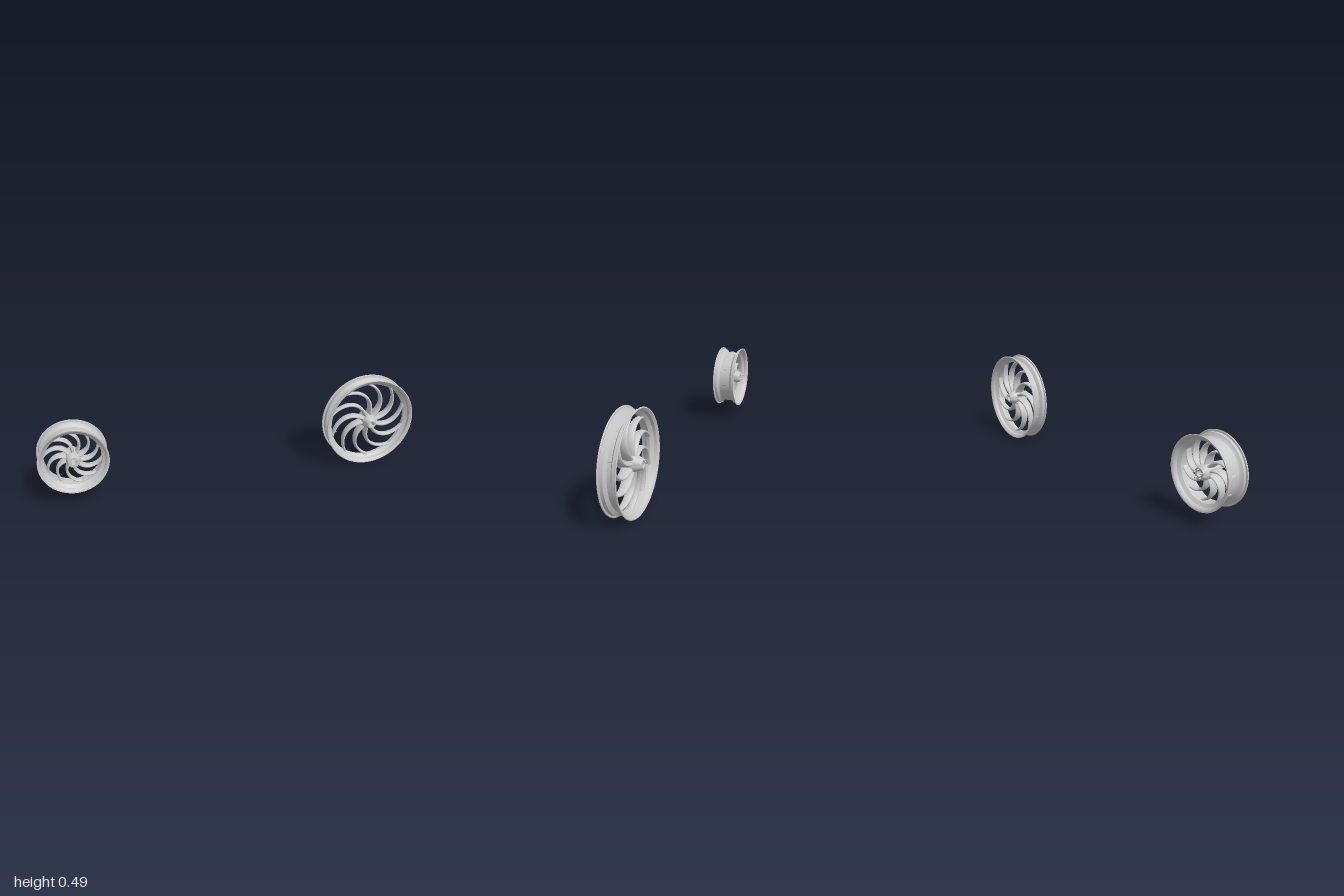
import * as THREE from 'three';
import { toCreasedNormals } from 'three/addons/utils/BufferGeometryUtils.js';

const metal = new THREE.MeshStandardMaterial({ color: 0xc8c8c8 });
metal.name = 'cast metal';

function add(parent, name, geometry) {
  const mesh = new THREE.Mesh(geometry, metal);
  mesh.name = name;
  parent.add(mesh);
  return mesh;
}

// Closed ring around z: half profile of [radius, z], mirrored across z = 0
function ring(half, segments) {
  const points = [...half, ...half.map(([r, z]) => [r, -z]).reverse(), half[0]]
    .map(([r, z]) => new THREE.Vector2(r, z));
  const g = new THREE.LatheGeometry(points, segments).rotateX(Math.PI / 2);
  return toCreasedNormals(g, 0.55);
}

// Oval section swept along a spiral that leaves the hub radially
function spokeGeometry({ inner, outer, sweep, width, depth }) {
  const steps = 18, sides = 12, positions = [], index = [];
  const at = t => {
    const r = inner + (outer - inner) * t, a = sweep * t * t;
    return new THREE.Vector2(r * Math.cos(a), r * Math.sin(a));
  };
  for (let i = 0; i <= steps; i++) {
    const t = i / steps, p = at(t);
    const dir = at(t + 0.01).sub(at(t - 0.01)).normalize();
    const w = THREE.MathUtils.lerp(width[0], width[1], t);
    const d = THREE.MathUtils.lerp(depth[0], depth[1], t);
    for (let j = 0; j < sides; j++) {
      const a = (j / sides) * Math.PI * 2, c = Math.cos(a) * w;
      positions.push(p.x - dir.y * c, p.y + dir.x * c, Math.sin(a) * d);
      if (i === steps) continue;
      const k = (j + 1) % sides, row = i * sides, next = row + sides;
      index.push(row + j, row + k, next + j, row + k, next + k, next + j);
    }
  }
  const g = new THREE.BufferGeometry();
  g.setAttribute('position', new THREE.Float32BufferAttribute(positions, 3));
  g.setIndex(index);
  g.computeVertexNormals();
  return g;
}

function makeWheel(name, { rim, hub, spoke, count, start, bolts }) {
  const wheel = new THREE.Group();
  wheel.name = name;
  add(wheel, 'rim', ring(rim, 80));
  add(wheel, 'hub', ring(hub, 40));

  // Curved spokes
  const spokeShape = spokeGeometry(spoke);
  for (let i = 0; i < count; i++) {
    add(wheel, 'spoke', spokeShape).rotation.z = start + (i / count) * Math.PI * 2;
  }

  // Bolts on both hub faces
  const bolt = new THREE.CylinderGeometry(0.003, 0.003, bolts.length, 8).rotateX(Math.PI / 2);
  for (const side of [-1, 1]) {
    for (let i = 0; i < 5; i++) {
      const a = Math.PI / 2 + (i / 5) * Math.PI * 2;
      add(wheel, 'hubBolt', bolt).position.set(
        Math.cos(a) * bolts.radius, Math.sin(a) * bolts.radius, side * bolts.z);
    }
  }
  return wheel;
}

export function createModel() {
  const model = new THREE.Group();
  model.name = 'wheelPair';

  // Tall narrow wheel
  const large = makeWheel('largeWheel', {
    rim: [[0.218, 0.009], [0.235, 0.02], [0.236, 0.036], [0.244, 0.037], [0.246, 0.04],
      [0.245, 0.043], [0.241, 0.044], [0.236, 0.041], [0.229, 0.035], [0.226, 0.022], [0.209, 0.008]],
    hub: [[0.041, 0.012], [0.037, 0.03], [0.032, 0.043], [0.024, 0.062], [0.022, 0.064],
      [0.014, 0.064], [0.013, 0.058]],
    spoke: { inner: 0.025, outer: 0.214, sweep: 0.85, width: [0.011, 0.007], depth: [0.03, 0.014] },
    count: 10, start: 0.15,
    bolts: { radius: 0.018, z: 0.062, length: 0.01 },
  });
  large.position.set(0.755, 0.247, 0);

  // Valve stem
  const valve = add(large, 'valveStem', new THREE.CylinderGeometry(0.0025, 0.0025, 0.03, 8));
  const angle = Math.PI + 0.28;
  valve.position.set(Math.cos(angle) * 0.197, Math.sin(angle) * 0.197, 0);
  valve.rotation.z = angle - Math.PI / 2;

  // Small wide wheel
  const small = makeWheel('smallWheel', {
    rim: [[0.149, 0.03], [0.153, 0.036], [0.165, 0.043], [0.166, 0.056], [0.174, 0.057], [0.176, 0.06],
      [0.175, 0.063], [0.171, 0.063], [0.166, 0.06], [0.16, 0.054], [0.157, 0.042], [0.142, 0.03]],
    hub: [[0.037, 0.014], [0.035, 0.04], [0.03, 0.056], [0.027, 0.06], [0.014, 0.06], [0.013, 0.054]],
    spoke: { inner: 0.025, outer: 0.147, sweep: 0.85, width: [0.009, 0.006], depth: [0.032, 0.016] },
    count: 10, start: 0.3,
    bolts: { radius: 0.021, z: 0.066, length: 0.016 },
  });
  small.position.set(-0.824, 0.245, -0.001);

  model.add(large, small);
  return model;
}
